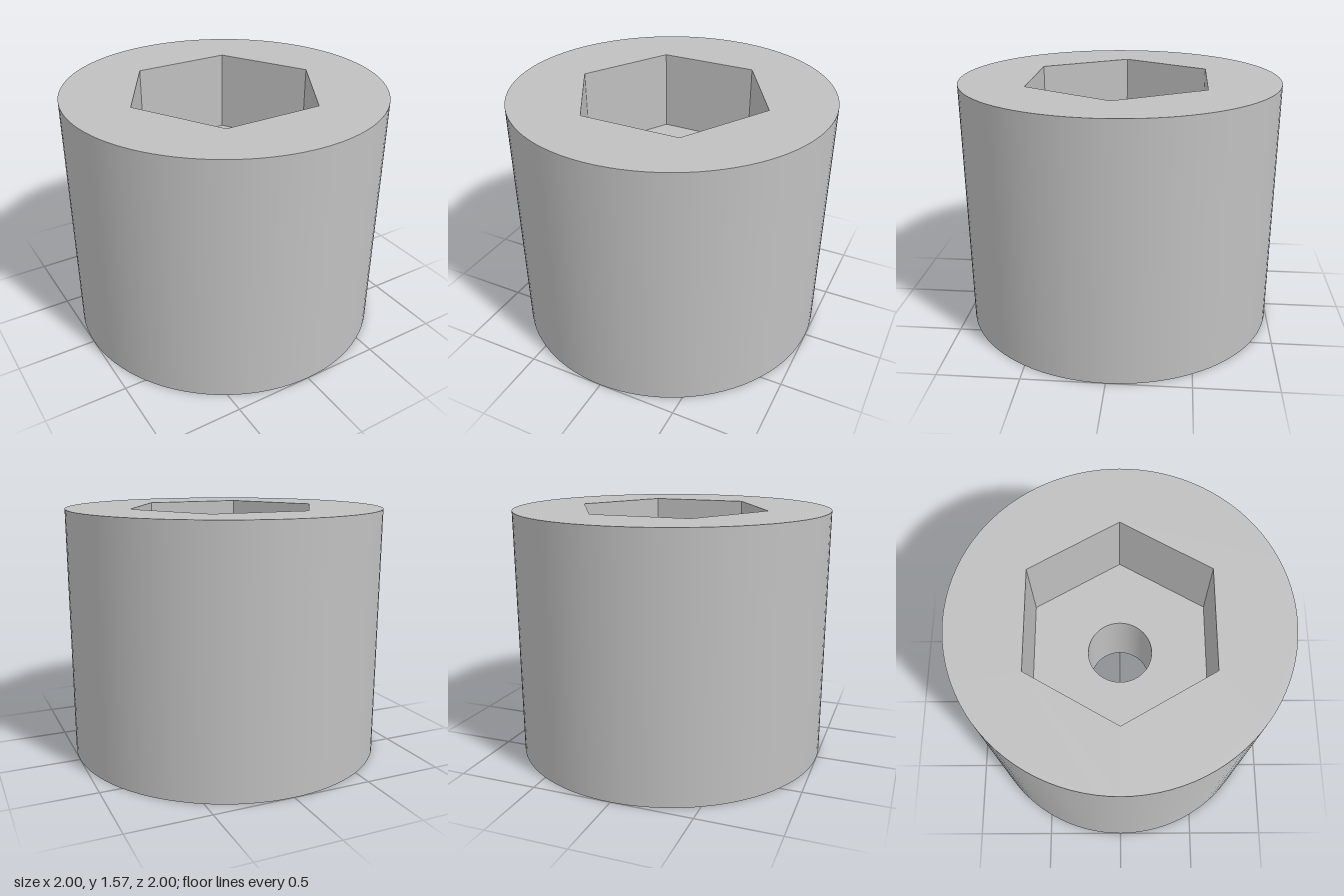
import * as THREE from 'three';

const HEIGHT = 1.57, RADIUS = 1;
const HEX_RADIUS = 0.625, HEX_FLOOR = 1.045;
const HOLE_RADIUS = 0.2;
const BORE_RADIUS = 0.41, BORE_TOP = 0.52;
const ROUND = 96, HEX = 6;

// Straight wall from y0 to y1: rising walls face outward, falling ones inward
function wall(radius, y0, y1, sides) {
  const points = [new THREE.Vector2(radius, y0), new THREE.Vector2(radius, y1)];
  let geometry = new THREE.LatheGeometry(points, sides, Math.PI / 2);
  if (sides === HEX) {
    geometry = geometry.toNonIndexed();
    geometry.computeVertexNormals();
  }
  return geometry;
}

// Corners of a regular polygon with its first corner on +x
function ring(radius, sides) {
  return Array.from({ length: sides }, (_, i) => {
    const a = (i / sides) * Math.PI * 2;
    return new THREE.Vector2(radius * Math.cos(a), radius * Math.sin(a));
  });
}

// Flat face with a hole, looking up or down
function face(outer, inner, y, up) {
  const shape = new THREE.Shape(outer);
  shape.holes.push(new THREE.Path(inner));
  return new THREE.ShapeGeometry(shape)
    .rotateX(up ? -Math.PI / 2 : Math.PI / 2)
    .translate(0, y, 0);
}

export function createModel() {
  const group = new THREE.Group();
  group.name = 'hexSocketSpacer';
  const grey = new THREE.MeshStandardMaterial({ color: 0xc0c0c0 });
  grey.name = 'plain grey';

  const add = (name, geometry) => {
    const mesh = new THREE.Mesh(geometry, grey);
    mesh.name = name;
    group.add(mesh);
  };

  const rim = ring(RADIUS, ROUND);
  const hexagon = ring(HEX_RADIUS, HEX);
  const hole = ring(HOLE_RADIUS, ROUND);
  const bore = ring(BORE_RADIUS, ROUND);

  // Outer body
  add('outerWall', wall(RADIUS, 0, HEIGHT, ROUND));
  add('topFace', face(rim, hexagon, HEIGHT, true));
  add('bottomFace', face(rim, bore, 0, false));

  // Hexagonal socket from above
  add('socketWall', wall(HEX_RADIUS, HEIGHT, HEX_FLOOR, HEX));
  add('socketFloor', face(hexagon, hole, HEX_FLOOR, true));

  // Through hole and wider bore from below
  add('throughHole', wall(HOLE_RADIUS, HEX_FLOOR, BORE_TOP, ROUND));
  add('boreCeiling', face(bore, hole, BORE_TOP, false));
  add('boreWall', wall(BORE_RADIUS, BORE_TOP, 0, ROUND));

  return group;
}
